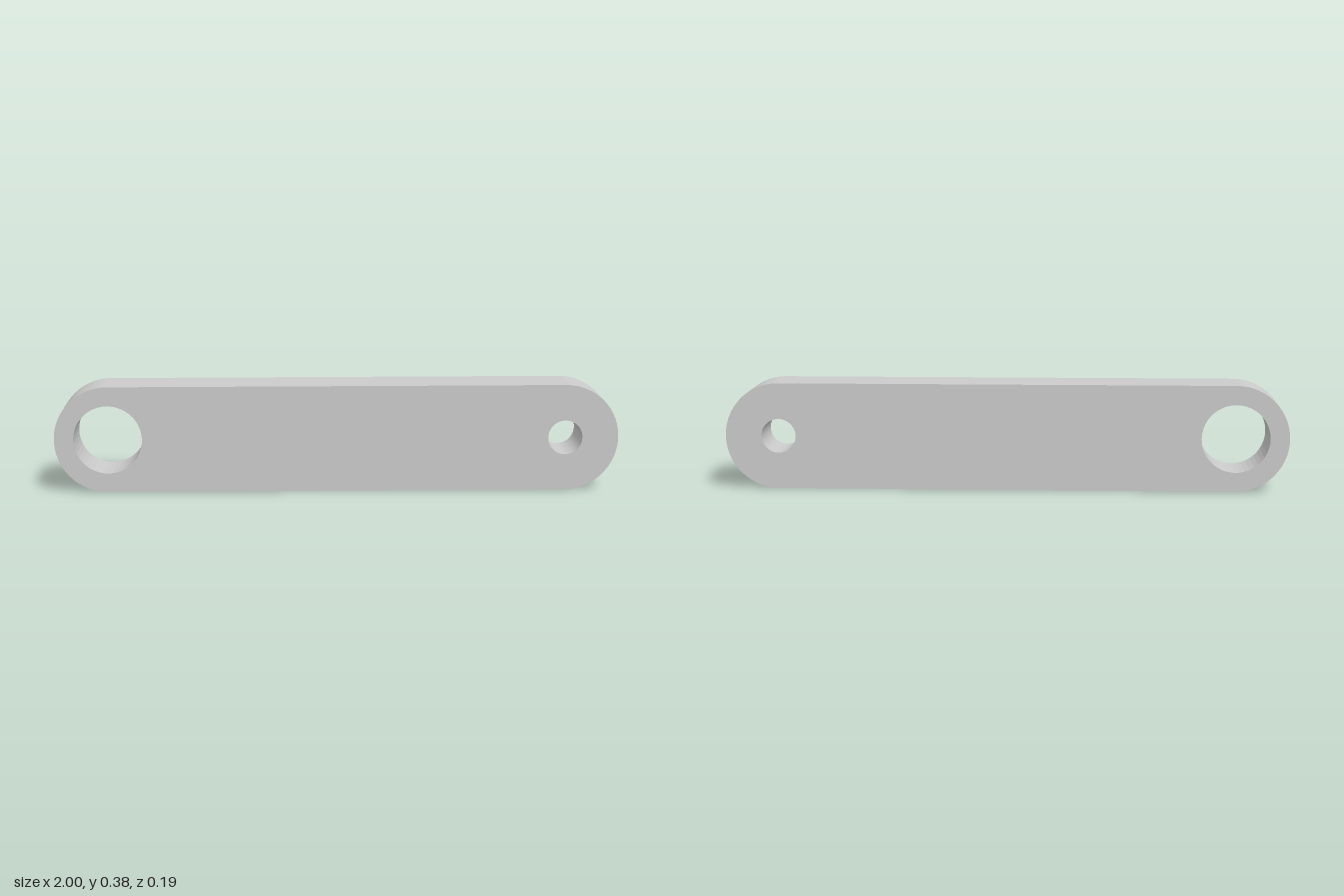
import * as THREE from 'three';

const R = 0.189;        // end radius, half the height
const X = 1 - R;        // distance of each pivot from the middle
const DEPTH = 0.188;

function circleHole(x, radius) {
  const hole = new THREE.Path();
  hole.absarc(x, R, radius, 0, Math.PI * 2, true);
  return hole;
}

export function createModel() {
  const group = new THREE.Group();
  group.name = 'linkArm';

  // Rounded bar outline, counter-clockwise
  const outline = new THREE.Shape();
  outline.absarc(X, R, R, -Math.PI / 2, Math.PI / 2, false);
  outline.absarc(-X, R, R, Math.PI / 2, Math.PI * 1.5, false);
  outline.closePath();

  // Large bore at one end, small pin hole at the other
  outline.holes.push(circleHole(-X, 0.121), circleHole(X, 0.061));

  const geometry = new THREE.ExtrudeGeometry(outline, {
    depth: DEPTH, bevelEnabled: false, curveSegments: 22,
  });
  geometry.translate(0, 0, -DEPTH / 2);

  const bar = new THREE.Mesh(
    geometry,
    new THREE.MeshStandardMaterial({ color: 0xcccccc, flatShading: true }),
  );
  bar.name = 'bar';
  group.add(bar);
  return group;
}
